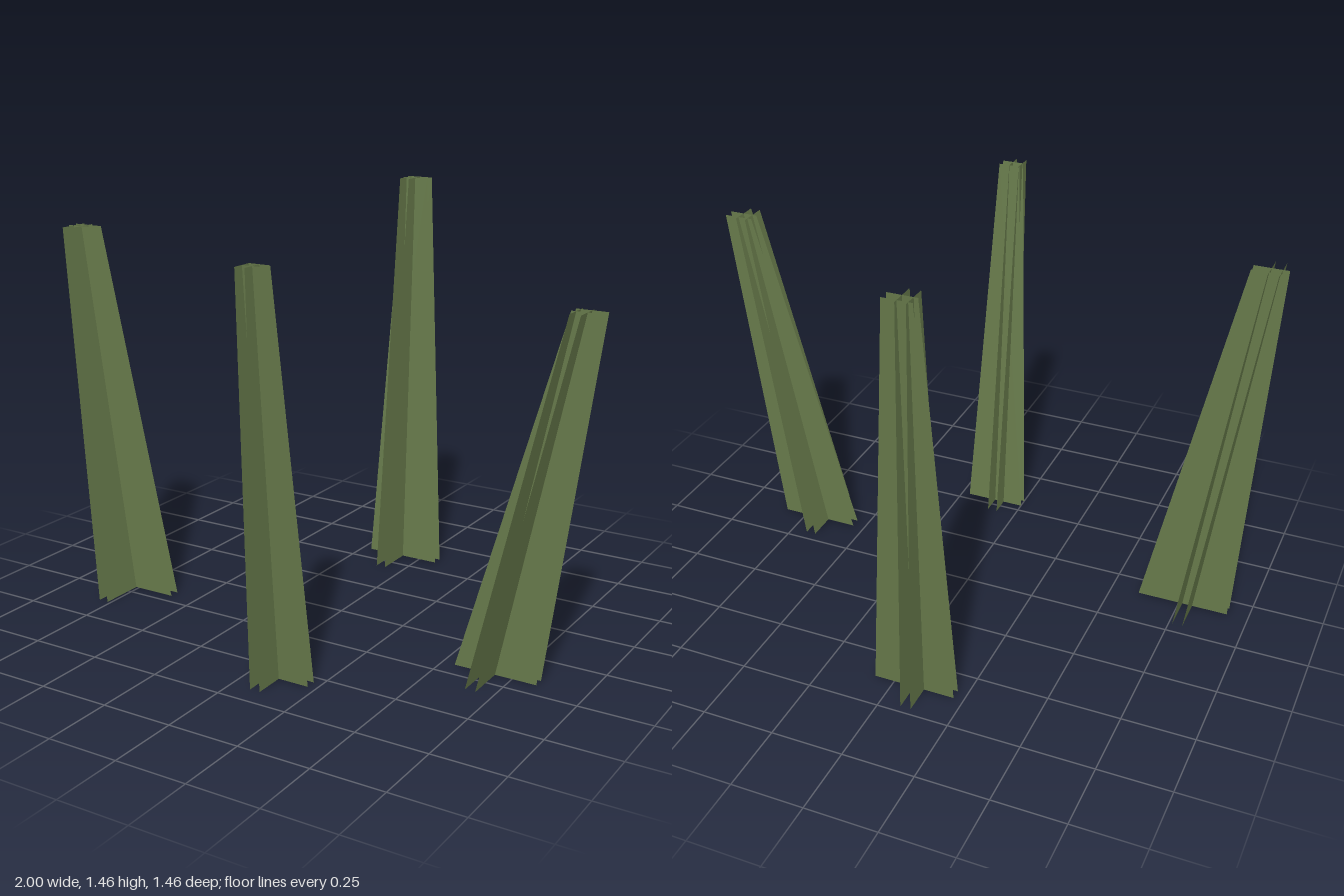
import * as THREE from 'three';

const material = new THREE.MeshStandardMaterial({ color: 0x66794a, side: THREE.DoubleSide, flatShading: true });
const GAP = 0.036; // spacing between the two parallel sheets

// One tapered sheet, spread along x or along z, leaning from base to tip.
function makeSheet(base, tip, axis, offset) {
  const geometry = new THREE.PlaneGeometry(1, 1);
  const pos = geometry.attributes.position;
  const shift = axis === 'x' ? [0, offset] : [offset, 0];
  for (let i = 0; i < pos.count; i++) {
    const end = pos.getY(i) > 0 ? tip : base;
    const spread = pos.getX(i) * (axis === 'x' ? end.wx : end.wz);
    pos.setXYZ(
      i,
      end.x + shift[0] + (axis === 'x' ? spread : 0),
      end.y,
      end.z + shift[1] + (axis === 'z' ? spread : 0)
    );
  }
  geometry.computeVertexNormals();
  return new THREE.Mesh(geometry, material);
}

// Two pairs of parallel sheets crossing at right angles.
function makeStalk(name, base, tip) {
  const stalk = new THREE.Group();
  stalk.name = name;
  for (const axis of ['x', 'z']) {
    for (const offset of [0, -GAP]) {
      const sheet = makeSheet(base, tip, axis, offset);
      sheet.name = axis === 'x' ? 'wideSheet' : 'deepSheet';
      stalk.add(sheet);
    }
  }
  return stalk;
}

// Base and tip of a stalk: centre x, height y, centre z, width along x and z.
const end = (x, y, z, wx, wz) => ({ x, y, z, wx, wz });

export function createModel() {
  const model = new THREE.Group();
  model.name = 'stalks';
  model.add(
    makeStalk('rightStalk', end(-0.7625, 0, 0.205, 0.325, 0.33), end(-0.9425, 1.326, 0.2075, 0.115, 0.115)),
    makeStalk('leftStalk', end(0.69, 0, 0.184, 0.29, 0.29), end(0.947, 1.218, 0.176, 0.104, 0.104)),
    makeStalk('backStalk', end(-0.0725, 0, -0.584, 0.285, 0.285), end(-0.09, 1.458, -0.676, 0.1, 0.1)),
    makeStalk('frontStalk', end(0.11, 0, 0.569, 0.22, 0.22), end(0.118, 1.357, 0.692, 0.077, 0.077))
  );
  return model;
}
